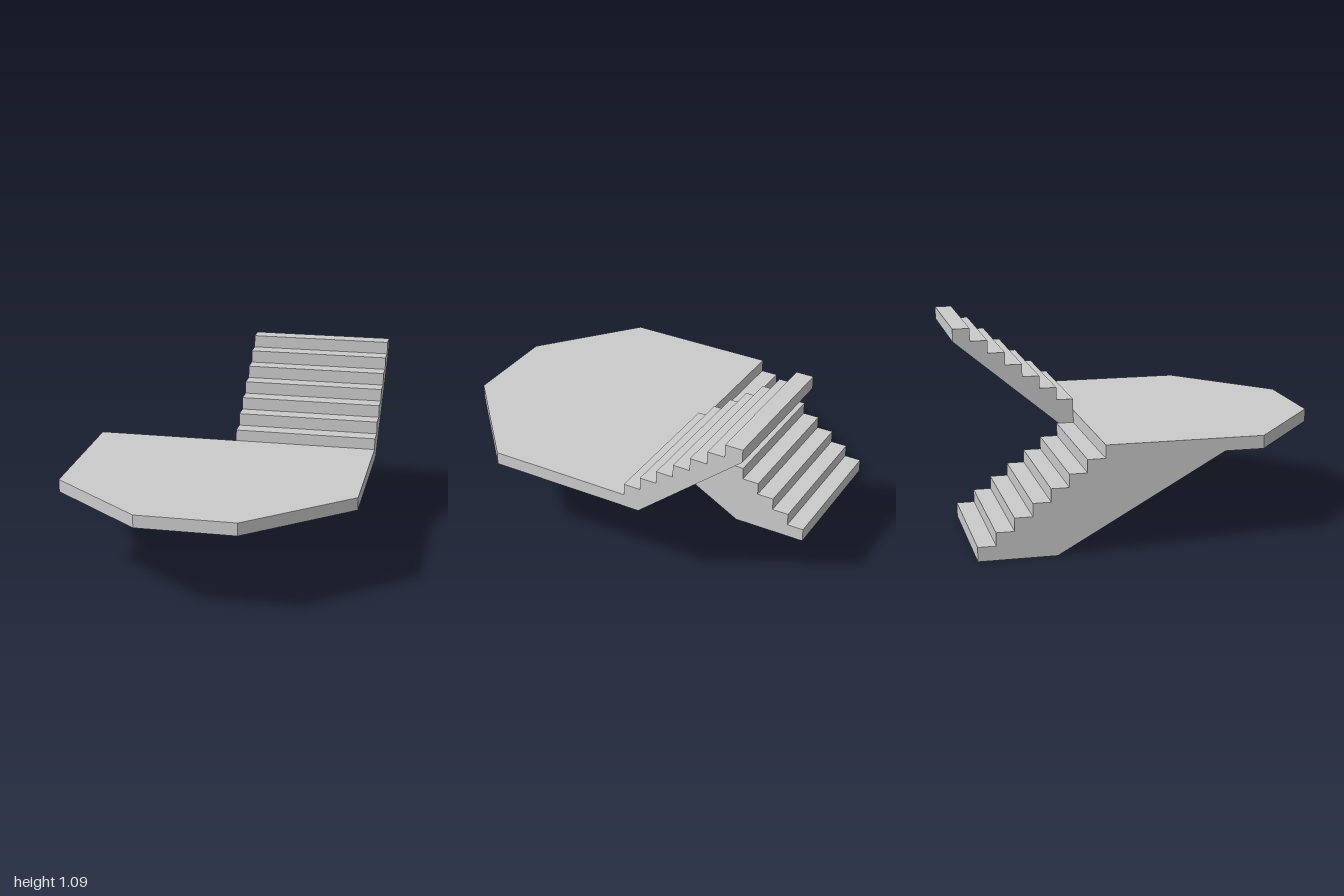
import * as THREE from 'three';

const HALF = 0.835;          // half width, also the width of one flight
const RISE = 1.09 / 15;      // 7 lower steps + landing + 7 upper steps
const STEPS = 7;
const BACK = -1;

const material = new THREE.MeshStandardMaterial({ color: 0xcccccc, flatShading: true });

function extrude(points, depth) {
  const shape = new THREE.Shape(points.map(([x, y]) => new THREE.Vector2(x, y)));
  return new THREE.ExtrudeGeometry(shape, { depth, bevelEnabled: false });
}

// Flight from a side profile of [z, y] points, extruded along x from x0
function flight(name, profile, x0) {
  const geometry = extrude(profile.map(([z, y]) => [-z, y]), HALF);
  geometry.rotateY(Math.PI / 2).translate(x0, 0, 0);
  const mesh = new THREE.Mesh(geometry, material);
  mesh.name = name;
  return mesh;
}

// Sawtooth from zStart to the back edge; dir is +1 climbing, -1 descending
function treads(zStart, yFirst, dir) {
  const going = (BACK - zStart) / STEPS;
  const points = [];
  for (let i = 0; i < STEPS; i++) {
    const y = yFirst + dir * i * RISE;
    points.push([zStart + i * going, y], [zStart + (i + 1) * going, y]);
  }
  return points;
}

export function createModel() {
  const group = new THREE.Group();
  group.name = 'staircase';
  const under = 7 * RISE + 0.006;   // underside of the landing
  const top = 8 * RISE + 0.006;

  // Landing slab with two cut front corners, plan points as [x, z]
  const plan = [
    [-HALF, -0.313], [-HALF, 0.56], [-0.29, 1], [0.27, 1], [HALF, 0.505], [HALF, -0.313],
  ];
  const slab = extrude(plan.map(([x, z]) => [x, -z]), top - under);
  slab.rotateX(-Math.PI / 2).translate(0, under, 0);
  const landing = new THREE.Mesh(slab, material);
  landing.name = 'landing';
  group.add(landing);

  // Lower flight: descends to the ground, with a sloped soffit
  group.add(flight('lowerFlight', [
    [0.345, under], ...treads(-0.313, under, -1), [BACK, 0], [-0.575, 0],
  ], -HALF));

  // Upper flight: climbs from the landing, with a sloped soffit
  group.add(flight('upperFlight', [
    [-0.313, under], ...treads(-0.313, 9 * RISE, 1), [BACK, 14 * RISE], [-0.4, under],
  ], 0));

  return group;
}
